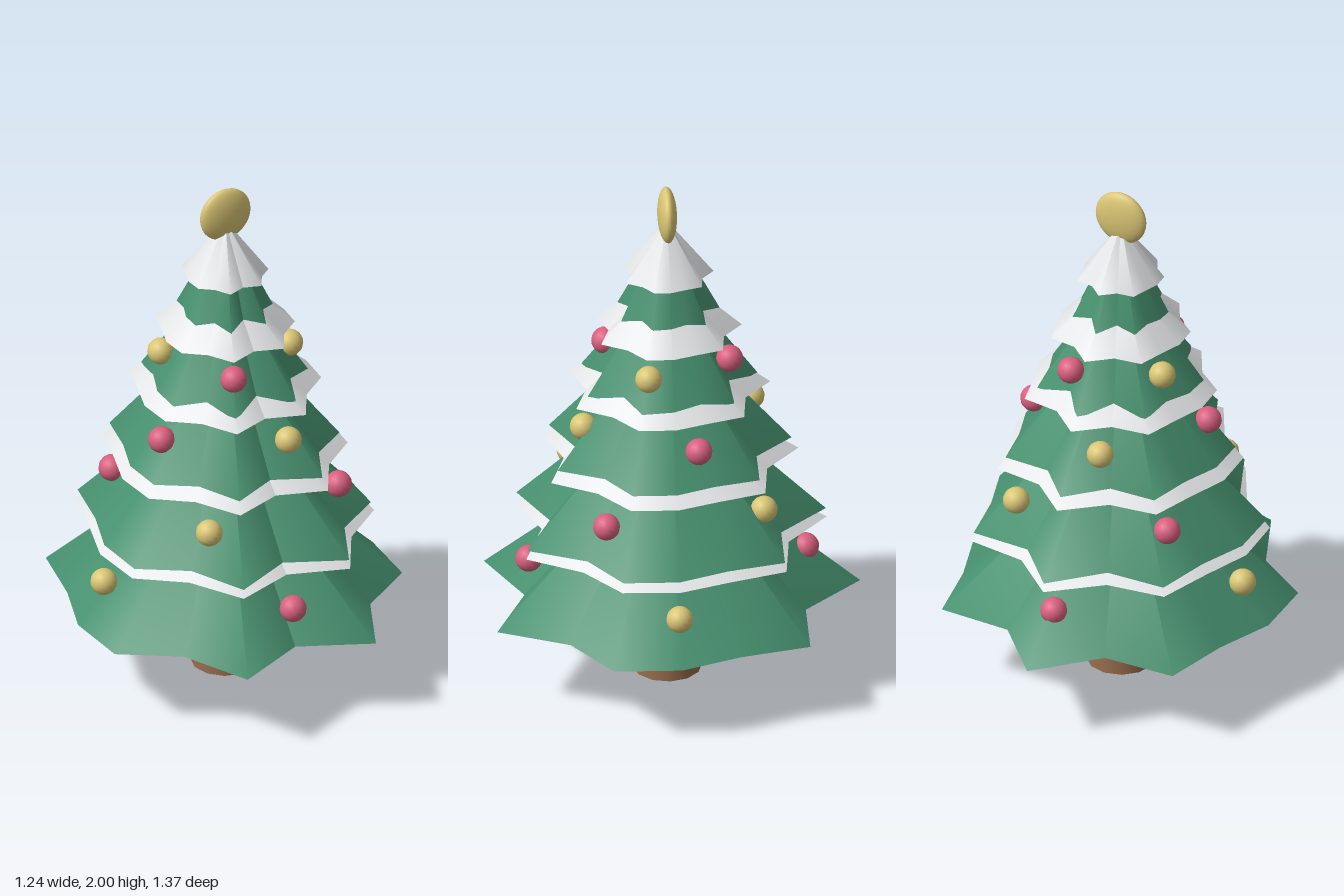
import * as THREE from 'three';

const mat = (name, color, side = THREE.FrontSide) => {
  const m = new THREE.MeshStandardMaterial({ color, side });
  m.name = name;
  return m;
};

// Open cone whose rim waves in and out in seven points
function wavyCone(radius, height, wave) {
  const g = new THREE.ConeGeometry(radius, height, 16, 1, true);
  const p = g.attributes.position;
  for (let i = 0; i < p.count; i++) {
    const x = p.getX(i), z = p.getZ(i);
    const s = 1 - wave * Math.cos(7 * Math.atan2(x, z));
    p.setX(i, x * s);
    p.setZ(i, z * s);
  }
  g.translate(0, height / 2, 0);
  g.computeVertexNormals();
  return g;
}

export function createModel() {
  const green = mat('needle green', 0x46906f, THREE.DoubleSide);
  const white = mat('snow white', 0xeceef0, THREE.DoubleSide);
  const brown = mat('bark brown', 0x946a4b);
  const gold = mat('gold', 0xd9c574);
  const red = mat('berry red', 0xd9607f);

  const model = new THREE.Group();
  model.name = 'decoratedTree';
  const add = (name, geometry, material, x, y, z) => {
    const mesh = new THREE.Mesh(geometry, material);
    mesh.name = name;
    mesh.position.set(x, y, z);
    model.add(mesh);
    return mesh;
  };
  const cz = 0.03; // trunk axis

  add('trunk', new THREE.CylinderGeometry(0.085, 0.128, 0.5, 12), brown, 0, 0.25, cz);

  // Tiers: bottom height, rim radius, cone height, snow rim height
  const tiers = [
    [0.32, 0.62, 0.62, 0.595],
    [0.63, 0.51, 0.58, 0.89],
    [0.935, 0.4, 0.53, 1.175],
    [1.215, 0.29, 0.46, 1.42],
    [1.47, 0.18, 0.4, 1.65],
  ];
  const ornamentHeights = [0.475, 0.78, 1.07, 1.33];
  const ball = new THREE.SphereGeometry(0.05, 16, 12);

  tiers.forEach(([y, r, h, snowY], k) => {
    add('branchTier', wavyCone(r, h, 0.15), green, 0, y, cz);
    add('snowCap', wavyCone(r * 0.85, h * 0.55, 0.12), white, 0, snowY, cz);

    // Four ornaments per tier, turned a little further on each one
    if (k < ornamentHeights.length) {
      for (let i = 0; i < 4; i++) {
        const a = k * 0.65 + i * Math.PI / 2;
        add('ornament', ball, (i + k) % 2 ? red : gold,
          Math.cos(a) * r * 0.825, ornamentHeights[k], cz + Math.sin(a) * r * 0.825);
      }
    }
  });

  // Flattened ball at the tip
  add('topper', new THREE.SphereGeometry(0.105, 24, 16), gold, 0, 1.895, cz).scale.set(1, 1, 0.34);

  return model;
}
